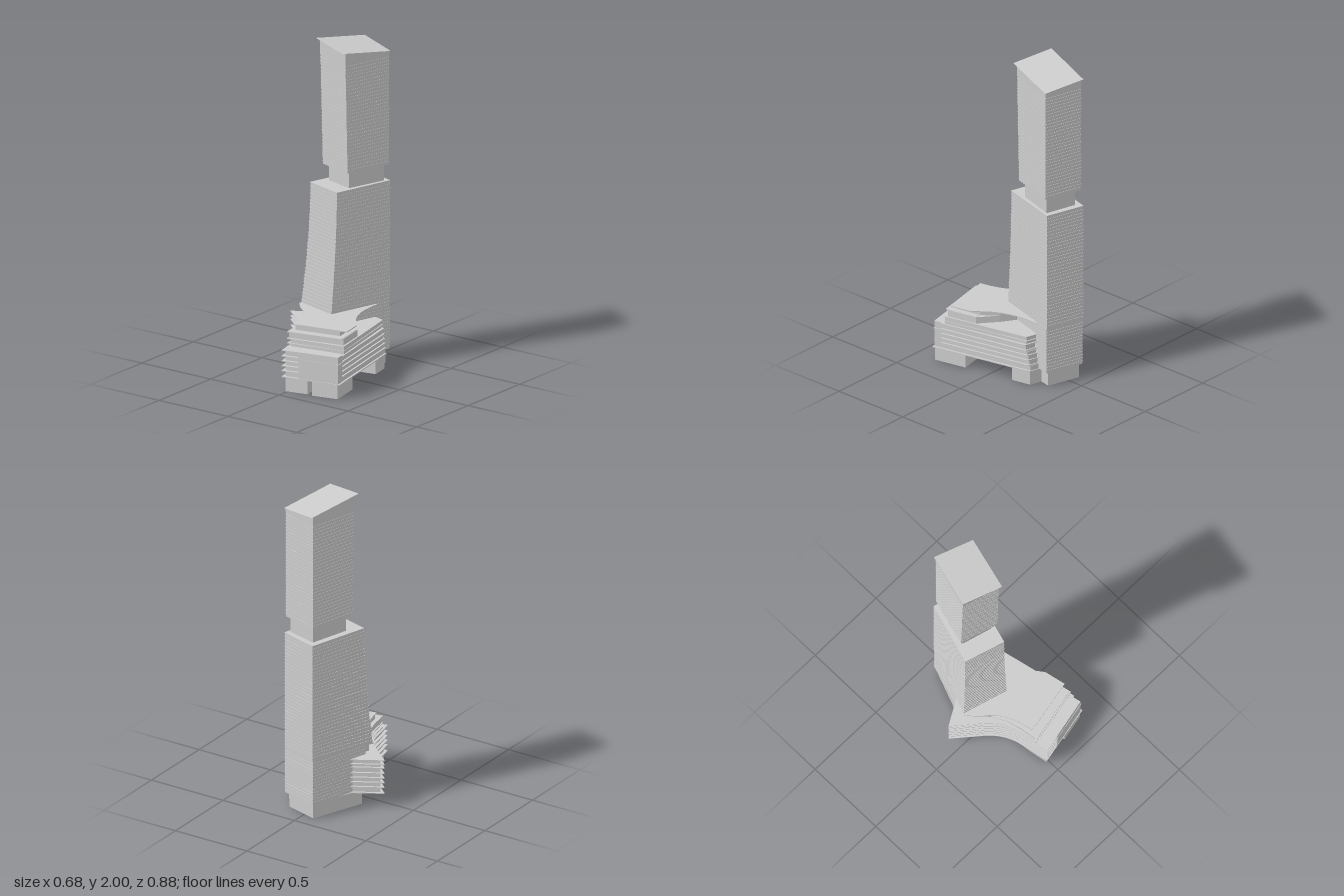
import * as THREE from 'three';
import { mergeGeometries } from 'three/addons/utils/BufferGeometryUtils.js';

const material = new THREE.MeshStandardMaterial({ color: 0xcccccc, flatShading: true, side: THREE.DoubleSide });

// Upright prism over a plan of [x, z] points
function prism(plan, y0, y1) {
  const shape = new THREE.Shape(plan.map(([x, z]) => new THREE.Vector2(x, -z)));
  return new THREE.ExtrudeGeometry(shape, { depth: y1 - y0, bevelEnabled: false })
    .rotateX(-Math.PI / 2).translate(0, y0, 0);
}

// Smooth run of [x, z] points
function curve(points, n = 12) {
  return new THREE.CatmullRomCurve3(points.map(([x, z]) => new THREE.Vector3(x, 0, z)))
    .getPoints(n).map(p => [p.x, p.z]);
}

const mix = (a, b, t) => a.map(([x, z], i) => [x + (b[i][0] - x) * t, z + (b[i][1] - z) * t]);

// Plan shrunk by a distance towards its centre
function inset(plan, d) {
  const cx = plan.reduce((s, p) => s + p[0], 0) / plan.length;
  const cz = plan.reduce((s, p) => s + p[1], 0) / plan.length;
  return plan.map(([x, z]) => {
    const k = 1 - d / Math.hypot(x - cx, z - cz);
    return [cx + (x - cx) * k, cz + (z - cz) * k];
  });
}

// Stack of storeys, each a wall with a thin projecting floor edge
function storeys(planAt, y0, y1, count) {
  const parts = [], h = (y1 - y0) / count;
  for (let i = 0; i < count; i++) {
    const plan = planAt((i + 0.5) / count), y = y0 + i * h;
    parts.push(prism(inset(plan, 0.003), y, y + h));
    parts.push(prism(plan, y + h - 0.004, y + h));
  }
  return mergeGeometries(parts);
}

// Height of the sloping roof plane
const roofY = (x, z) => 1.9826 - 0.154 * x + 0.1033 * z;

// Raises every vertex above the cut level onto the roof plane
function slopeTop(geometry, cut, offset) {
  const p = geometry.attributes.position;
  for (let i = 0; i < p.count; i++)
    if (p.getY(i) > cut) p.setY(i, roofY(p.getX(i), p.getZ(i)) + offset);
  geometry.computeVertexNormals();
  return geometry;
}

export function createModel() {
  const model = new THREE.Group();
  const add = (name, ...geometries) => {
    const mesh = new THREE.Mesh(geometries.length > 1 ? mergeGeometries(geometries) : geometries[0], material);
    mesh.name = name;
    model.add(mesh);
  };

  // Tower plans: back left, back right, front right, front left
  const shaftFoot = [[-0.085, -0.44], [0.157, -0.37], [0.037, 0.045], [-0.242, -0.033]];
  const shaftHead = [[-0.085, -0.44], [0.157, -0.37], [0.05, 0.008], [-0.199, -0.065]];
  const stem = [[-0.085, -0.436], [0.157, -0.367], [0.04, 0.03], [-0.2, -0.05]];
  const neck = [[-0.06, -0.395], [0.13, -0.345], [0.055, -0.105], [-0.13, -0.155]];
  const upperFoot = [[-0.08, -0.427], [0.157, -0.36], [0.07, -0.07], [-0.162, -0.136]];
  const upperHead = [[-0.08, -0.427], [0.157, -0.36], [0.067, -0.053], [-0.166, -0.118]];
  const roof = [[-0.082, -0.441], [0.163, -0.363], [0.065, -0.025], [-0.182, -0.10]];

  // Tower
  add('towerStem', storeys(() => stem, 0.09, 0.38, 14));
  add('lowerTower', storeys(t => mix(shaftFoot, shaftHead, 1 - (1 - t) ** 1.8), 0.38, 1.12, 34));
  add('towerNeck', prism(neck, 1.12, 1.22));
  add('upperTower', storeys(t => mix(upperFoot, upperHead, t), 1.22, 1.9, 32));
  add('towerCrown', slopeTop(prism(upperHead, 1.9, 1.92), 1.91, -0.006));
  add('slopingRoof', slopeTop(slopeTop(prism(roof, 0, 3), 2.5, 0), -1, 0)
    .translate(0, -0.004, 0), slopeTop(prism(inset(roof, 0.002), 0, 3), -1, -0.006));

  // Podium: concave left edge, pointed wing and straight long side
  const sweep = curve([[-0.34, -0.062], [-0.24, 0.022], [-0.15, 0.1], [-0.095, 0.175], [-0.065, 0.26], [-0.045, 0.365]]);
  const podiumBack = z => [[0.2 - (z + 0.275) * -0.21, z], [0.137, z - 0.018], [0.05, -0.25], [-0.1, -0.2], [-0.18, -0.155]];
  const slab = z => [...sweep, [-0.028, 0.44], [0.085, 0.416], [0.075, 0.36], [0.325, 0.31], ...podiumBack(z)];
  const wallSweep = curve([[-0.312, -0.064], [-0.225, 0.008], [-0.132, 0.09], [-0.077, 0.17], [-0.047, 0.26], [-0.03, 0.35]]);
  const inner = [...wallSweep, [-0.013, 0.42], [0.07, 0.402], [0.3, 0.31], [0.2, -0.2], [0.05, -0.25], [-0.17, -0.145]];
  add('podiumWall', prism(inner, 0.09, 0.25));
  const levels = [0.088, 0.125, 0.155, 0.185, 0.215, 0.25, 0.272, 0.3];
  const slabs = levels.slice(0, 6).map((y, i) => prism(slab(-0.275 + i * 0.006), y, y + 0.005));
  add('podiumSlabs', ...slabs);

  // Solid long wing with a raked back end
  const wing = [];
  for (let i = 0; i < 5; i++) {
    const y = 0.09 + i * 0.033, z = -0.272 + i * 0.007;
    wing.push(prism([[0.075, 0.416], [0.325, 0.361], [0.19 + i * 0.0015, z], [0.137, z - 0.016], [0.06, -0.1]], y, y + 0.033));
  }
  add('longWing', ...wing);
  add('wingBands',
    prism([[0.06, 0.421], [0.338, 0.364], [0.2, -0.276], [0.137, -0.293], [0.05, -0.1]], 0.087, 0.092),
    prism([[0.07, 0.419], [0.33, 0.363], [0.196, -0.255], [0.137, -0.272], [0.05, -0.1]], 0.207, 0.212));

  // Set-back tier with its deck
  const tierBack = [[0.196, -0.245], [0.137, -0.262], [0.05, -0.25], [-0.18, -0.155]];
  add('setBackTier', prism([...wallSweep, [0.312, 0.288], [0.19, -0.24], [0.13, -0.255], [0.05, -0.25], [-0.17, -0.145]], 0.25, 0.3));
  add('setBackDecks', ...levels.slice(6).map(y => prism([...sweep, [0.316, 0.291], ...tierBack], y, y + 0.004)));

  // Upper terraces, bounded on the right by a concave curve
  const cut = curve([[0.255, 0.09], [0.2, 0.02], [0.155, -0.08], [0.137, -0.19], [0.137, -0.27]], 10);
  const crownSweep = curve([[-0.245, -0.025], [-0.2, 0.03], [-0.12, 0.1], [-0.07, 0.18], [-0.045, 0.25], [-0.03, 0.32]]);
  const innerCut = [[0.225, 0.09], [0.15, 0.0], [0.07, -0.05], [-0.15, -0.08]];
  add('lowerTerraceWall', prism([[-0.19, 0.0], [-0.125, 0.07], [-0.08, 0.15], [-0.055, 0.25], [-0.04, 0.35], [0.3, 0.275], [0.262, 0.09], ...innerCut.slice(1)], 0.3, 0.345));
  add('lowerTerraceDeck', prism([[-0.127, 0.1], [-0.085, 0.17], [-0.06, 0.26], [-0.044, 0.368], [0.3, 0.293], [0.26, 0.1], ...innerCut], 0.341, 0.346));
  add('upperTerraceWall', prism([[-0.19, 0.0], [-0.1, 0.09], [-0.05, 0.18], [-0.025, 0.31], [0.255, 0.25], [0.235, 0.13], ...innerCut], 0.345, 0.378));
  add('terraceRoof', prism([...crownSweep, [0.305, 0.25], [0.277, 0.12], ...cut, [0.05, -0.25], [-0.2, -0.12]], 0.376, 0.382));

  // Ground-floor blocks
  add('towerBase', prism([[-0.075, -0.415], [0.13, -0.357], [0.115, -0.29], [0.19, -0.27], [0.215, -0.15], [0.1, -0.13], [0.05, -0.02], [-0.2, -0.09]], 0, 0.09));
  add('frontBase',
    prism([[0.16, 0.395], [0.32, 0.36], [0.278, 0.16], [0.13, 0.19], [0.14, 0.26], [0.13, 0.3]], 0, 0.09),
    prism([[-0.015, 0.42], [0.125, 0.39], [0.1, 0.28], [0.01, 0.3], [-0.01, 0.2], [0.08, 0.17], [0.06, 0.1], [0.05, 0.04], [-0.06, 0.11], [-0.035, 0.3]], 0, 0.09));
  return model;
}
